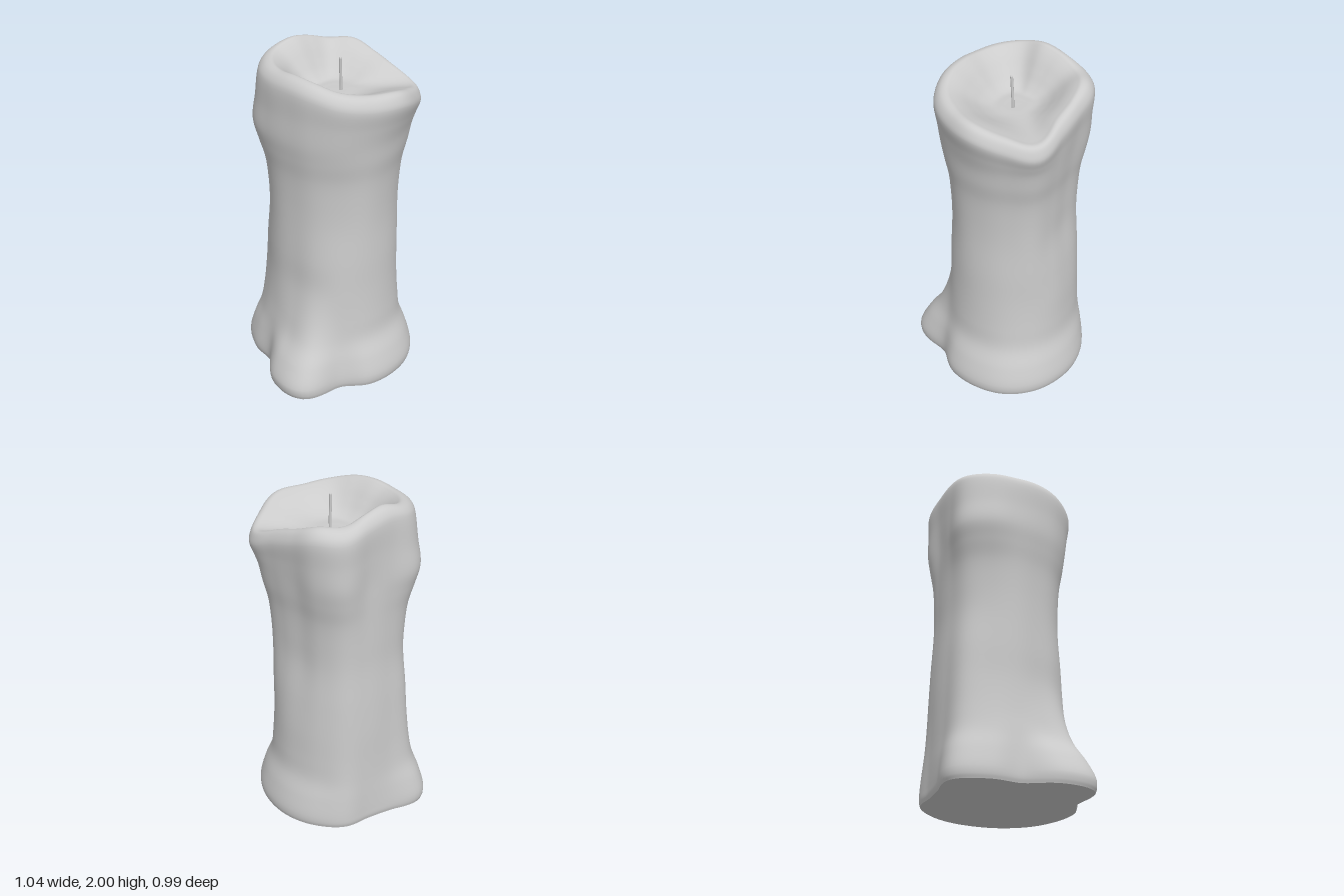
import * as THREE from 'three';

const AXIS_X = 0.07; // the column leans off the middle of its puddled foot
const SEGMENTS = 112, STEPS = 6;

// Radii every 22.5 degrees, turning from +x towards +z
const FOOT = [.445, .46, .485, .50, .495, .49, .468, .607, .56, .445, .50, .535, .42, .388, .428, .435];
const ANKLE = [.385, .395, .412, .42, .415, .415, .42, .475, .43, .41, .435, .46, .395, .38, .405, .39];
const LOWER = [.365, .375, .385, .39, .39, .39, .39, .38, .36, .37, .388, .42, .38, .375, .39, .375];
const WAIST = [.32, .34, .378, .375, .375, .38, .37, .365, .355, .365, .372, .385, .36, .355, .37, .345];
const SHOULDER = [.365, .39, .447, .435, .43, .425, .425, .412, .40, .415, .455, .46, .38, .36, .422, .405];
const LIP = [.395, .415, .488, .48, .49, .465, .455, .425, .40, .405, .425, .42, .375, .375, .425, .425];
const CREST = [.345, .36, .445, .43, .435, .40, .385, .35, .325, .33, .345, .345, .305, .31, .34, .355];
const RIM_HEIGHT = [1.895, 1.85, 1.79, 1.83, 1.88, 1.89, 1.915, 1.95, 1.96, 1.95, 1.955, 1.97, 2.0, 1.98, 1.94, 1.94];
const FLOOR = 1.775;

// Smooth closed interpolation of a ring of values, u in 0..1
function ringValue(values, u) {
  const n = values.length, f = u * n, i = Math.floor(f), t = f - i;
  const [a, b, c, d] = [-1, 0, 1, 2].map(k => values[(i + k + n) % n]);
  return b + 0.5 * t * (c - a + t * (2 * a - 5 * b + 4 * c - d + t * (3 * (b - c) + d - a)));
}

// Profile from the foot up the side, over the rim and down into the bowl
function profileAt(u) {
  const [foot, ankle, lower, waist, shoulder, lip, crest, h] =
    [FOOT, ANKLE, LOWER, WAIST, SHOULDER, LIP, CREST, RIM_HEIGHT].map(v => ringValue(v, u));
  const mix = THREE.MathUtils.lerp;
  const points = [
    [foot * 0.985, 0], [foot, 0.025], [foot, 0.07],
    [mix(foot, ankle, 0.4), 0.18], [ankle, 0.3],
    [mix(ankle, lower, 0.55), 0.43], [lower, 0.62],
    [mix(lower, waist, 0.4), 0.82], [waist, 1.05], [mix(waist, shoulder, 0.06), 1.21],
    [mix(waist, shoulder, 0.27), 1.36], [mix(waist, shoulder, 0.68), 1.48], [shoulder, 1.59],
    [mix(shoulder, lip, 0.5), mix(1.59, h - 0.08, 0.5)],
    [lip, h - 0.08], [mix(lip, crest, 0.17), h - 0.04], [mix(lip, crest, 0.54), h - 0.01], [crest, h]
  ];
  for (const s of [0.92, 0.8, 0.65, 0.5, 0.35, 0.18, 0])
    points.push([crest * s, mix(FLOOR, h, THREE.MathUtils.smoothstep(s, 0.3, 1.04))]);
  const curve = new THREE.CatmullRomCurve3(points.map(p => new THREE.Vector3(p[0], p[1], 0)));
  return curve.getPoints((points.length - 1) * STEPS);
}

function waxGeometry() {
  const positions = [], index = [];
  let rows = 0;
  for (let i = 0; i < SEGMENTS; i++) {
    const angle = i / SEGMENTS * Math.PI * 2;
    const profile = profileAt(i / SEGMENTS);
    rows = profile.length;
    for (const p of profile)
      positions.push(AXIS_X + p.x * Math.cos(angle), Math.max(0, p.y), p.x * Math.sin(angle));
  }
  for (let i = 0; i < SEGMENTS; i++) {
    const next = (i + 1) % SEGMENTS;
    for (let j = 0; j < rows - 1; j++) {
      const a = i * rows + j, b = next * rows + j;
      index.push(a, a + 1, b, b, a + 1, b + 1);
    }
  }
  const geometry = new THREE.BufferGeometry();
  geometry.setAttribute('position', new THREE.Float32BufferAttribute(positions, 3));
  geometry.setIndex(index);
  geometry.computeVertexNormals();
  return geometry;
}

// Flat underside with the same outline as the foot
function undersideGeometry() {
  const outline = [];
  for (let i = 0; i < SEGMENTS; i++) {
    const angle = i / SEGMENTS * Math.PI * 2, r = ringValue(FOOT, i / SEGMENTS) * 0.985;
    outline.push(new THREE.Vector2(AXIS_X + r * Math.cos(angle), r * Math.sin(angle)));
  }
  return new THREE.ShapeGeometry(new THREE.Shape(outline)).rotateX(Math.PI / 2);
}

export function createModel() {
  const group = new THREE.Group();
  group.name = 'meltedCandle';
  const material = new THREE.MeshStandardMaterial({ color: 0xcccccc });
  const add = (name, geometry) => {
    const mesh = new THREE.Mesh(geometry, material);
    mesh.name = name;
    group.add(mesh);
    return mesh;
  };

  add('waxBody', waxGeometry());
  add('underside', undersideGeometry());

  // Slightly bent wick with a rounded tip
  const wickPath = new THREE.CatmullRomCurve3([
    new THREE.Vector3(0.078, FLOOR - 0.03, 0.045), new THREE.Vector3(0.078, 1.83, 0.046),
    new THREE.Vector3(0.074, 1.9, 0.045), new THREE.Vector3(0.071, 1.965, 0.047)
  ]);
  add('wick', new THREE.TubeGeometry(wickPath, 16, 0.008, 10));
  add('wickTip', new THREE.SphereGeometry(0.008, 10, 8)).position.set(0.071, 1.965, 0.047);
  return group;
}
